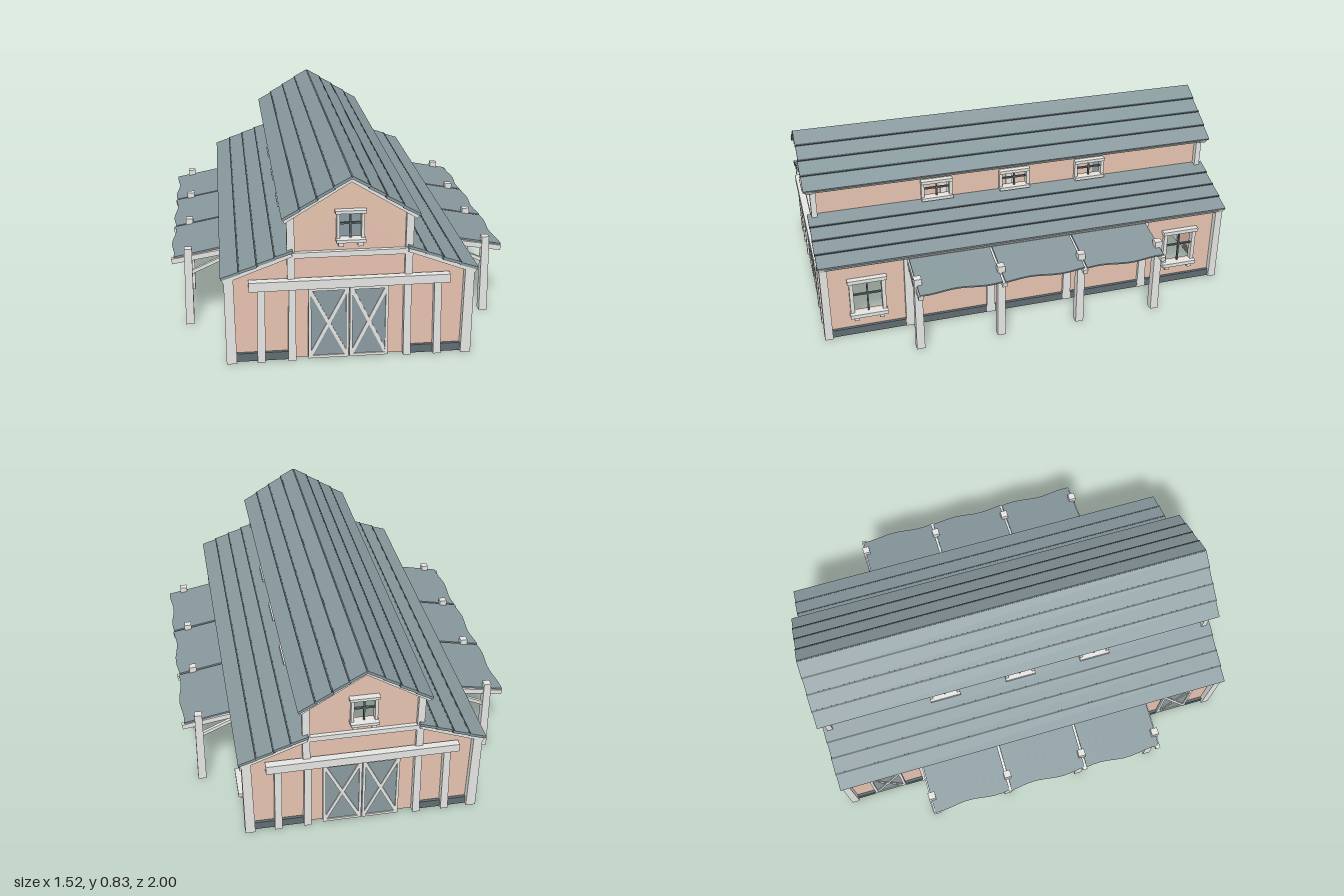
import * as THREE from 'three';

const paint = (name, color) => {
  const m = new THREE.MeshStandardMaterial({ color });
  m.name = name;
  return m;
};

export function createModel() {
  const wallMat = paint('clay wall', 0xe6c2af);
  const roofMat = paint('slate roof', 0x86979b);
  const seamMat = paint('dark seam', 0x4a565a);
  const trimMat = paint('pale timber', 0xe4e4e2);
  const doorMat = paint('blue grey door', 0x8a9a9f);
  const baseMat = paint('dark footing', 0x606d72);
  const liningMat = paint('pale lining', 0xd6d6d6);

  const V = (x, y, z) => new THREE.Vector3(x, y, z);
  const add = (parent, name, geo, mat, x = 0, y = 0, z = 0) => {
    const m = new THREE.Mesh(geo, mat);
    m.name = name;
    m.position.set(x, y, z);
    parent.add(m);
    return m;
  };
  const box = (parent, name, mat, w, h, d, x, y, z) =>
    add(parent, name, new THREE.BoxGeometry(w, h, d), mat, x, y, z);

  // Straight timber from a to b; start > 1 makes the first end stouter
  const bar = (parent, name, mat, a, b, w, h = w, start = 1) => {
    const geo = new THREE.BoxGeometry(w, h, a.distanceTo(b));
    const p = geo.attributes.position;
    for (let i = 0; i < p.count; i++)
      if (p.getZ(i) < 0) p.setXY(i, p.getX(i) * start, p.getY(i) * start);
    geo.computeVertexNormals();
    const m = new THREE.Mesh(geo, mat);
    m.name = name;
    m.position.copy(a).lerp(b, 0.5);
    m.lookAt(b);
    parent.add(m);
    return m;
  };

  // Wall panel with rectangular openings [cx, cy, halfW, halfH]; outer face at z
  const panel = (parent, name, points, holes, z) => {
    const shape = new THREE.Shape(points.map(([x, y]) => new THREE.Vector2(x, y)));
    for (const [cx, cy, hw, hh] of holes) {
      const path = new THREE.Path();
      path.moveTo(cx - hw, cy - hh).lineTo(cx - hw, cy + hh);
      path.lineTo(cx + hw, cy + hh).lineTo(cx + hw, cy - hh).closePath();
      shape.holes.push(path);
    }
    const geo = new THREE.ExtrudeGeometry(shape, { depth: 0.012, bevelEnabled: false });
    return add(parent, name, geo, wallMat, 0, 0, z - 0.012);
  };

  // Window frame around an opening, with cross bars and an optional footed sill
  const windowFrame = (parent, cx, cy, hw, hh, z, t, sill) => {
    const g = new THREE.Group();
    g.name = 'window';
    g.position.set(cx, cy, z);
    parent.add(g);
    for (const s of [-1, 1]) {
      box(g, 'windowJamb', trimMat, t, hh * 2 + t, 0.024, s * (hw + t / 2), 0, 0);
      if (sill) box(g, 'sillFoot', trimMat, 0.022, 0.02, 0.03, s * hw * 0.9, -hh - t - 0.01, 0.008);
    }
    const over = sill ? 0.007 : 0;
    box(g, 'windowHead', trimMat, 2 * (hw + t + over), t, 0.034, 0, hh + t / 2, 0.004);
    box(g, 'windowSill', trimMat, 2 * (hw + t + over * 0.5), t, sill ? 0.05 : 0.034, 0, -hh - t / 2, 0.008);
    box(g, 'uprightGlazingBar', baseMat, 0.007, hh * 2, 0.01, 0, 0, 0);
    box(g, 'crossGlazingBar', baseMat, hw * 2, 0.007, 0.01, 0, hh * 0.15, 0);
  };

  // Plank door with border and X brace on its outer face
  const door = (parent, cx, w, h, z, t) => {
    const g = new THREE.Group();
    g.name = 'door';
    g.position.set(cx, h / 2 + 0.005, z);
    parent.add(g);
    box(g, 'doorLeaf', doorMat, w, h, 0.016, 0, 0, 0);
    const x = w / 2 - t / 2, y = h / 2 - t / 2;
    for (const s of [-1, 1]) {
      box(g, 'doorStile', trimMat, t, h, 0.014, s * x, 0, 0.006);
      box(g, 'doorRail', trimMat, w, t, 0.014, 0, s * y, 0.006);
      bar(g, 'doorBrace', trimMat, V(-x, -s * y, 0.006), V(x, s * y, 0.006), 0.013, t * 1.2);
    }
  };

  // One roof slope, from top to bottom [z, y], in overlapping courses
  const slope = (parent, name, top, bottom, length) => {
    const g = new THREE.Group();
    g.name = name;
    parent.add(g);
    const a = V(0, top[1], top[0]), b = V(0, bottom[1], bottom[0]);
    const n = 4, up = V(0, b.z - a.z, a.y - b.y).normalize();
    for (let i = 0; i < n; i++) {
      const p = a.clone().lerp(b, i / n);
      const q = a.clone().lerp(b, (i + 1) / n).addScaledVector(up, 0.004);
      bar(g, 'roofCourse', roofMat, p, q, length - (i % 2) * 0.004, 0.012);
      if (i < n - 1)
        bar(g, 'courseEdge', seamMat, q.clone().lerp(p, 0.08), q.clone().lerp(p, -0.02), length, 0.0135);
    }
    const down = up.clone().multiplyScalar(-0.011);
    bar(g, 'roofLining', liningMat, a.clone().add(down), b.clone().add(down), length - 0.06, 0.006);
  };

  const barn = new THREE.Group();
  barn.name = 'barn';

  // Long sides: local x runs along the wall, local z points outward
  for (const s of [1, -1]) {
    const side = new THREE.Group();
    side.name = s > 0 ? 'leftSide' : 'rightSide';
    side.rotation.y = s * Math.PI / 2;
    barn.add(side);
    const ends = [-0.77, 0.77], upper = [-0.38, 0, 0.38];
    const openings = ends.map(x => s > 0 ? [x, 0.2, 0.065, 0.08] : [x, 0.15, 0.075, 0.14]);
    panel(side, 'lowerWall', [[-0.95, 0], [0.95, 0], [0.95, 0.39], [-0.95, 0.39]], openings, 0.5);
    panel(side, 'upperWall', [[-0.95, 0.47], [0.95, 0.47], [0.95, 0.66], [-0.95, 0.66]],
      upper.map(x => [x, 0.56, 0.06, 0.036]), 0.24);
    for (const x of ends) {
      if (s > 0) windowFrame(side, x, 0.2, 0.065, 0.08, 0.505, 0.018, true);
      else door(side, x, 0.16, 0.29, 0.5, 0.013);
    }
    for (const x of upper) windowFrame(side, x, 0.56, 0.06, 0.036, 0.245, 0.015, false);

    // Wall posts, footing and battens
    for (const x of [-0.58, -0.19, 0.19, 0.58])
      bar(side, 'wallPost', trimMat, V(x, 0, 0.497), V(x, 0.385, 0.497), 0.034, 0.032, 1.15);
    const footings = s > 0 ? [[0, 1.9]] : [[0, 1.38], [-0.9, 0.1], [0.9, 0.1]];
    for (const [x, w] of footings) box(side, 'footing', baseMat, w, 0.036, 0.03, x, 0.018, 0.498);
    for (const x of [-0.385, 0, 0.385])
      for (const [y, tilt] of [[0.275, 0.004], [0.24, -0.004]])
        bar(side, 'wallBatten', trimMat, V(x - 0.18, y + tilt, 0.5), V(x + 0.18, y - tilt, 0.5), 0.008, 0.007);

    slope(side, 'upperRoof', [0, 0.82], [0.282, 0.645], 2);
    slope(side, 'lowerRoof', [0.24, 0.504], [0.538, 0.39], 1.975);

    // Awning frame
    for (const x of [-0.57, -0.19, 0.19, 0.57]) {
      bar(side, 'awningPost', trimMat, V(x, 0, 0.685), V(x, 0.37, 0.68), 0.034, 0.034, 1.12);
      bar(side, 'awningBeam', trimMat, V(x, 0.352, 0.5), V(x, 0.31, 0.755), 0.022, 0.024);
      bar(side, 'awningBrace', trimMat, V(x, 0.325, 0.51), V(x, 0.25, 0.675), 0.016, 0.016);
    }
    // Awning sheets with an uneven outer edge
    for (const x of [-0.387, 0, 0.387]) {
      const geo = new THREE.BoxGeometry(0.376, 0.008, 0.235, 10, 1, 1);
      const p = geo.attributes.position;
      for (let i = 0; i < p.count; i++)
        if (p.getZ(i) > 0) p.setZ(i, p.getZ(i) + 0.007 * Math.sin(p.getX(i) * 22 + x * 3));
      geo.computeVertexNormals();
      add(side, 'awningSheet', geo, roofMat, x, 0.348, 0.635).rotation.x = 0.19;
    }
  }

  // Gable ends
  for (const front of [true, false]) {
    const end = new THREE.Group();
    end.name = front ? 'frontEnd' : 'backEnd';
    end.rotation.y = front ? 0 : Math.PI;
    barn.add(end);
    const half = [[0.5, 0], [0.5, 0.388], [0.24, 0.49], [0.24, 0.655]];
    const outline = [...half, [0, 0.806], ...half.map(([x, y]) => [-x, y]).reverse()];
    panel(end, 'gableWall', outline, [[0, 0.603, 0.045, 0.055]], 0.95);
    windowFrame(end, 0, 0.603, 0.045, 0.055, 0.958, 0.013, true);
    if (front) add(end, 'gablePane', new THREE.PlaneGeometry(0.09, 0.11), doorMat, 0, 0.603, 0.945);

    // Double doors
    door(end, -0.091, 0.172, 0.325, 0.962, 0.012);
    door(end, 0.081, 0.164, 0.325, 0.962, 0.012);
    box(end, 'doorLining', liningMat, 0.36, 0.33, 0.004, 0, 0.167, 0.934);

    for (const s of [-1, 1]) {
      bar(end, 'cornerPost', trimMat, V(s * 0.503, 0, 0.962), V(s * 0.507, 0.385, 0.962), 0.034, 0.04, 1.1);
      bar(end, 'outerPost', trimMat, V(s * 0.378, 0, 0.962), V(s * 0.372, 0.345, 0.962), 0.034, 0.03, 1.1);
      bar(end, 'innerPost', trimMat, V(s * 0.247, 0, 0.962), V(s * 0.243, 0.345, 0.962), 0.032, 0.03, 1.1);
      bar(end, 'upperPost', trimMat, V(s * 0.247, 0.36, 0.955), V(s * 0.249, 0.65, 0.955), 0.026, 0.032);
      bar(end, 'upperBargeboard', trimMat, V(0, 0.808, 0.97), V(s * 0.278, 0.637, 0.97), 0.034, 0.018);
      bar(end, 'lowerBargeboard', trimMat, V(s * 0.245, 0.49, 0.964), V(s * 0.532, 0.381, 0.964), 0.034, 0.02);
      box(end, 'footing', baseMat, 0.25, 0.037, 0.026, s * 0.365, 0.0185, 0.95);
    }
    bar(end, 'doorHeader', trimMat, V(-0.425, 0.354, 0.974), V(0.422, 0.356, 0.974), 0.032, 0.038, 1.08);
    box(end, 'tieBeam', trimMat, 0.48, 0.024, 0.026, 0, 0.479, 0.956);
  }

  // Partition along the loft
  box(barn, 'loftPartition', doorMat, 0.008, 0.13, 1.3, 0, 0.57, 0);

  return barn;
}
